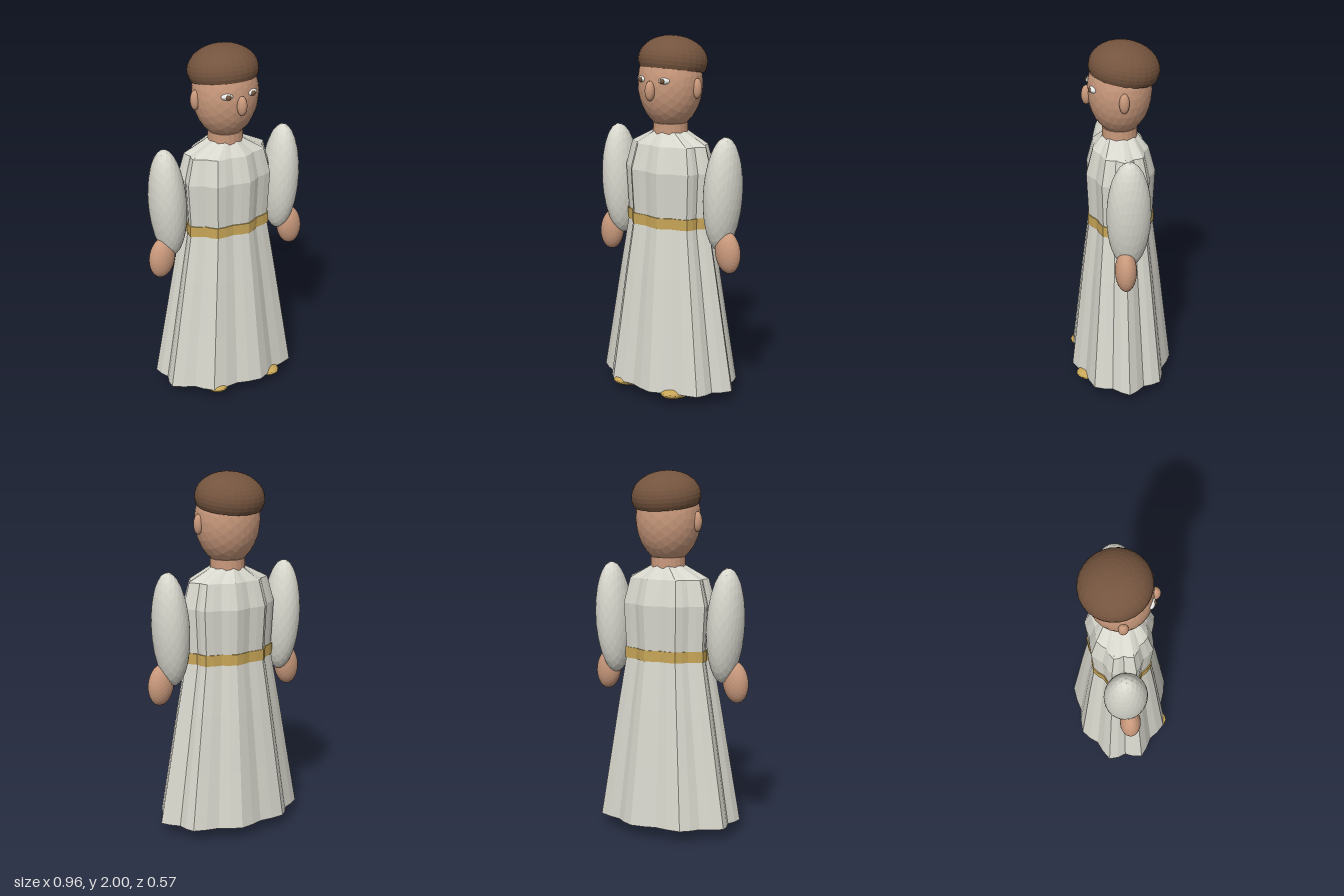
import * as THREE from 'three';

const mat = (name, color) => {
  const m = new THREE.MeshStandardMaterial({ color, flatShading: true });
  m.name = name;
  return m;
};

// Stack of wavy elliptical rings, given bottom to top as [y, rx, rz]
function foldedSurface(rings, folds = 9, depth = 0.06, segments = 36) {
  const pos = [], index = [];
  for (const [y, rx, rz] of rings) {
    for (let j = 0; j < segments; j++) {
      const a = (j / segments) * Math.PI * 2;
      const r = 1 + depth * Math.cos(folds * a);
      pos.push(rx * r * Math.cos(a), y, rz * r * Math.sin(a));
    }
  }
  for (let i = 0; i < rings.length - 1; i++) {
    for (let j = 0; j < segments; j++) {
      const a = i * segments + j, b = i * segments + (j + 1) % segments;
      const c = a + segments, d = b + segments;
      index.push(a, c, b, b, c, d);
    }
  }
  const geo = new THREE.BufferGeometry();
  geo.setAttribute('position', new THREE.Float32BufferAttribute(pos, 3));
  geo.setIndex(index);
  geo.computeVertexNormals();
  return geo;
}

export function createModel() {
  const group = new THREE.Group();
  const cloth = mat('cloth', 0xd8d7cd);
  const gold = mat('gold', 0xc8a658);
  const skin = mat('skin', 0xc9997c);
  const brown = mat('brown', 0x74543e);
  const eyeWhite = mat('eyeWhite', 0xe6e6e4);

  const add = (name, geo, material, position = [0, 0, 0], rotation = [0, 0, 0]) => {
    const mesh = new THREE.Mesh(geo, material);
    mesh.name = name;
    mesh.position.set(...position);
    mesh.rotation.set(...rotation);
    group.add(mesh);
    return mesh;
  };
  const ellipsoid = (name, material, radii, position, rotation, detail = 4) =>
    add(name, new THREE.IcosahedronGeometry(1, detail).scale(...radii), material, position, rotation);

  // Robe with a shallow pointed underside, folds and sloping shoulders
  add('robe', foldedSurface([
    [0.005, 0, 0], [0.07, 0.405, 0.275], [0.38, 0.352, 0.24], [0.7, 0.298, 0.205],
    [1.0, 0.245, 0.168], [1.28, 0.262, 0.18], [1.42, 0.226, 0.145],
    [1.49, 0.09, 0.09], [1.49, 0, 0],
  ]), cloth);
  add('belt', foldedSurface([
    [0.975, 0.235, 0.16], [0.975, 0.254, 0.175], [1.035, 0.254, 0.175], [1.035, 0.235, 0.16],
  ]), gold);

  // Neck and head
  add('neck', new THREE.CylinderGeometry(0.095, 0.097, 0.12, 20), skin, [0, 1.475, 0]);
  ellipsoid('head', skin, [0.18, 0.245, 0.172], [0, 1.745, 0]);
  ellipsoid('nose', skin, [0.027, 0.054, 0.027], [0, 1.72, 0.177], [0, 0, 0], 3);

  // Hair cap: squashed dome tilted back, closed underneath
  const hair = [[0, -0.05]];
  const cut = 1.95;
  for (let i = 0; i <= 12; i++) {
    const t = cut * (1 - i / 12);
    hair.push([0.19 * Math.sin(t), 0.135 * Math.cos(t)]);
  }
  add('hair', new THREE.LatheGeometry(hair.map(p => new THREE.Vector2(Math.max(p[0], 0), p[1])), 28),
    brown, [0, 1.865, -0.024], [-0.16, 0, 0]);

  // Mirrored parts
  for (const s of [1, -1]) {
    const side = s > 0 ? 'left' : 'right';
    ellipsoid(side + 'Ear', skin, [0.025, 0.055, 0.027], [s * 0.181, 1.73, 0], [0, 0, 0], 3);
    ellipsoid(side + 'Eye', eyeWhite, [0.032, 0.017, 0.016], [s * 0.076, 1.776, 0.152], [0, s * 0.3, 0], 3);
    ellipsoid(side + 'Iris', brown, [0.015, 0.014, 0.01], [s * 0.073, 1.775, 0.165], [0, 0, 0], 2);
    ellipsoid(side + 'Sleeve', cloth, [0.1, 0.315, 0.118], [s * 0.355, 1.175, 0], [0, 0, -s * 0.05]);
    ellipsoid(side + 'Hand', skin, [0.073, 0.116, 0.058], [s * 0.407, 0.87, 0.022], [0, 0, s * 0.12]);
    ellipsoid(side + 'Shoe', gold, [0.082, 0.04, 0.158], [s * 0.15, 0.053, 0.12], [-0.1, s * 0.2, 0], 3);
  }
  return group;
}
